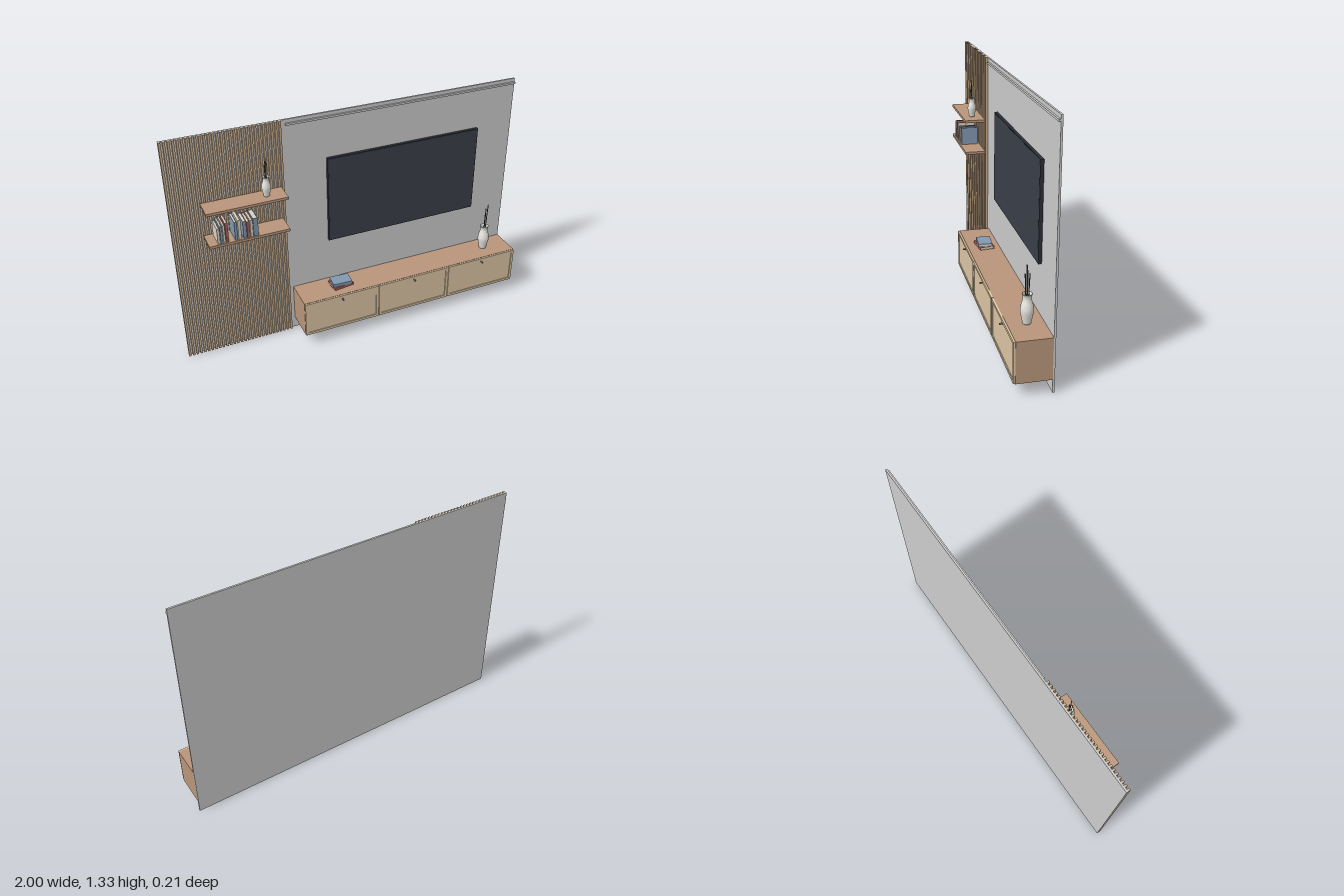
import * as THREE from 'three';

const mat = (color) => new THREE.MeshStandardMaterial({ color });
const M = {
  grey: mat(0xcccccc), slat: mat(0xc8ab88), wood: mat(0xb8957a), door: mat(0xdcc6a4),
  screen: mat(0x3a3f49), frame: mat(0x2b2e35), metal: mat(0x77706a),
  blue: mat(0x8098b0), red: mat(0xa8625a), cream: mat(0xd9d0bf),
  vase: mat(0xe6e4de), stem: mat(0x4c5244),
};
const WALL = -0.096; // front face of the wall

// Box given by its extents on each axis
function box(parent, name, material, [x0, x1], [y0, y1], [z0, z1]) {
  const mesh = new THREE.Mesh(new THREE.BoxGeometry(x1 - x0, y1 - y0, z1 - z0), material);
  mesh.position.set((x0 + x1) / 2, (y0 + y1) / 2, (z0 + z1) / 2);
  mesh.name = name;
  parent.add(mesh);
  return mesh;
}

function group(parent, name) {
  const g = new THREE.Group();
  g.name = name;
  parent.add(g);
  return g;
}

// Rounded vase with a flared lip and three dry stems
function makeVase(parent, name, x, y, z, s) {
  const g = group(parent, name);
  g.position.set(x, y, z);
  g.scale.setScalar(s);
  const outer = new THREE.SplineCurve([
    [0.015, 0], [0.019, 0.02], [0.0242, 0.048], [0.022, 0.068], [0.0165, 0.088], [0.0155, 0.1], [0.019, 0.112],
  ].map((p) => new THREE.Vector2(...p))).getPoints(24);
  const inner = [[0.0165, 0.112], [0.0135, 0.1], [0.0145, 0.088], [0, 0.08]];
  const profile = [new THREE.Vector2(0, 0), ...outer, ...inner.map((p) => new THREE.Vector2(...p))];
  const body = new THREE.Mesh(new THREE.LatheGeometry(profile, 32), M.vase);
  body.name = 'vaseBody';
  g.add(body);
  [[-0.006, 0.185, 0.007], [0.001, 0.2, -0.001], [0.007, 0.205, 0.004], [0.005, 0.19, -0.007]].forEach(([dx, top, dz], i) => {
    const path = new THREE.LineCurve3(new THREE.Vector3(dx * 0.5, 0.08, dz * 0.5), new THREE.Vector3(dx, i === 2 ? 0.222 : top, dz));
    const stem = new THREE.Mesh(new THREE.TubeGeometry(path, 1, 0.0019, 8), M.stem);
    stem.material = M.stem;
    stem.name = 'stem';
    g.add(stem);
  });
}

// Book with a page block between two covers and a spine on the front (+z)
function makeBook(parent, name, cover, w, h, d) {
  const g = group(parent, name);
  const t = Math.min(0.002, w * 0.2);
  box(g, 'coverRight', cover, [-w / 2, -w / 2 + t], [0, h], [-d / 2, d / 2]);
  box(g, 'coverLeft', cover, [w / 2 - t, w / 2], [0, h], [-d / 2, d / 2]);
  box(g, 'spine', cover, [-w / 2 + t, w / 2 - t], [0, h], [d / 2 - t, d / 2]);
  box(g, 'pages', M.cream, [-w / 2 + t, w / 2 - t], [0.002, h - 0.003], [-d / 2 + 0.003, d / 2 - t]);
  return g;
}

// Cabinet door: frame around a recessed panel, with a round knob
function makeDoor(parent, x0, x1, y0, y1, zBack, zFront) {
  const g = group(parent, 'door');
  const rect = (C, b) => {
    const s = new C();
    s.moveTo(x0 + b, y0 + b);
    s.lineTo(x1 - b, y0 + b);
    s.lineTo(x1 - b, y1 - b);
    s.lineTo(x0 + b, y1 - b);
    s.closePath();
    return s;
  };
  const shape = rect(THREE.Shape, 0);
  shape.holes.push(rect(THREE.Path, 0.015));
  const frame = new THREE.Mesh(new THREE.ExtrudeGeometry(shape, { depth: zFront - zBack, bevelEnabled: false }), M.door);
  frame.position.z = zBack;
  frame.name = 'doorFrame';
  g.add(frame);
  box(g, 'doorPanel', M.door, [x0 + 0.015, x1 - 0.015], [y0 + 0.015, y1 - 0.015], [zBack, zFront - 0.005]);
  const knob = new THREE.Mesh(new THREE.CylinderGeometry(0.005, 0.004, 0.017, 16), M.metal);
  knob.rotation.x = Math.PI / 2;
  knob.position.set((x0 + x1) / 2, 0.264, zFront + 0.0035);
  knob.name = 'knob';
  g.add(knob);
}

export function createModel() {
  const model = new THREE.Group();
  model.name = 'mediaWall';

  // Wall and the rail along its top
  box(model, 'wall', M.grey, [-1, 1], [0, 1.333], [-0.106, WALL]);
  box(model, 'topRail', M.grey, [-0.36, 1], [1.302, 1.313], [WALL, -0.086]);

  // Vertical slats
  const slats = group(model, 'slats');
  const count = 29, width = 0.012, first = -1, last = -0.385;
  for (let i = 0; i < count; i++) {
    const x = first + (i * (last - width - first)) / (count - 1);
    box(slats, 'slat', M.slat, [x, x + width], [0, 1.333], [WALL, -0.083]);
  }

  // Television
  const tv = group(model, 'television');
  box(tv, 'casing', M.frame, [-0.142, 0.776], [0.558, 1.073], [WALL, -0.079]);
  box(tv, 'screen', M.screen, [-0.137, 0.771], [0.563, 1.068], [-0.08, -0.078]);

  // Floating shelves
  for (const y of [0.755, 0.948]) box(model, 'shelf', M.wood, [-0.838, -0.403], [y, y + 0.015], [-0.083, 0.034]);

  // Standing books: x, thickness, height, cover
  const books = group(model, 'shelfBooks');
  [
    [-0.784, 0.013, 0.09, M.cream], [-0.769, 0.012, 0.1, M.blue], [-0.755, 0.011, 0.105, M.cream],
    [-0.739, 0.014, 0.112, M.red], [-0.692, 0.014, 0.108, M.blue], [-0.673, 0.016, 0.115, M.cream],
    [-0.645, 0.018, 0.1, M.blue], [-0.626, 0.015, 0.095, M.red], [-0.609, 0.014, 0.1, M.cream],
    [-0.586, 0.026, 0.105, M.blue],
  ].forEach(([x, w, h, cover], i) => {
    makeBook(books, 'book', cover, w, h, 0.098 + (i % 3) * 0.003).position.set(x, 0.77, -0.024);
  });

  // Cabinet with three doors
  const cabinet = group(model, 'cabinet');
  box(cabinet, 'cabinetBody', M.wood, [-0.362, 1], [0.07, 0.29], [WALL, 0.084]);
  const edges = [-0.362, 0.092, 0.546, 1];
  for (let i = 0; i < 3; i++) makeDoor(cabinet, edges[i] + 0.002, edges[i + 1] - 0.002, 0.072, 0.288, 0.084, 0.094);

  // Two books lying on the cabinet
  const stack = group(model, 'bookStack');
  [[M.red, 0.29, 0.016, 0.118, 0.085, -0.13], [M.blue, 0.306, 0.018, 0.112, 0.08, 0.06]].forEach(([cover, y, t, l, d, turn]) => {
    const holder = group(stack, 'lyingBook');
    holder.position.set(-0.104, y + t / 2, -0.012);
    holder.rotation.y = -turn;
    const book = makeBook(holder, 'book', cover, t, l, d);
    book.rotation.z = Math.PI / 2;
    book.position.x = l / 2;
  });

  // Vases
  makeVase(model, 'smallVase', -0.502, 0.963, -0.024, 1);
  makeVase(model, 'largeVase', 0.838, 0.29, -0.011, 1.38);

  return model;
}
